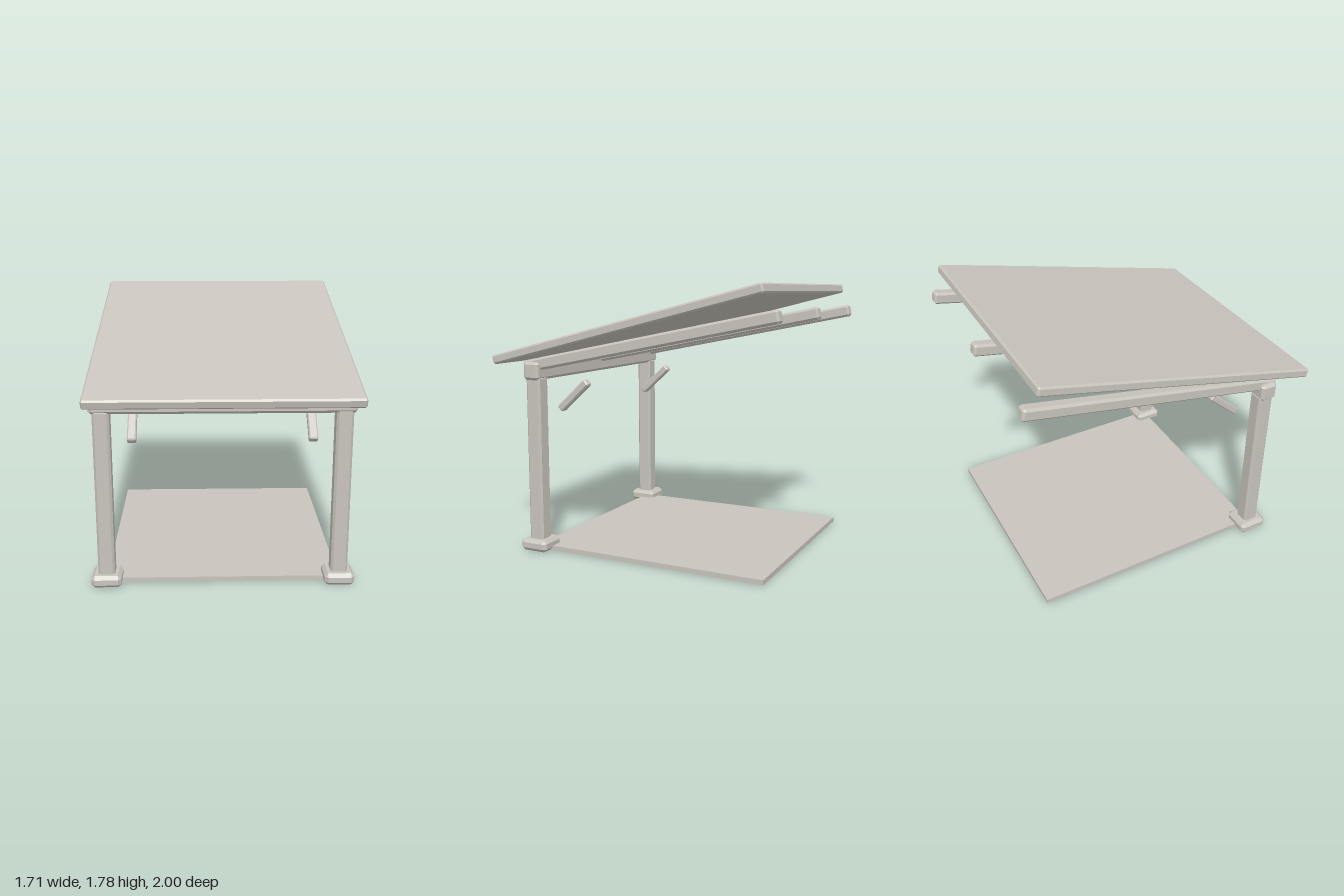
import * as THREE from 'three';
import { ConvexGeometry } from 'three/addons/geometries/ConvexGeometry.js';

const concrete = new THREE.MeshStandardMaterial({ color: 0xc8c4bc });
concrete.name = 'warm grey';

// Box with every edge cut by a flat chamfer c.
function chamferBox(w, h, d, c) {
  const pts = [];
  for (const sx of [-1, 1]) for (const sy of [-1, 1]) for (const sz of [-1, 1]) {
    const x = w / 2, y = h / 2, z = d / 2;
    pts.push(new THREE.Vector3(sx * x, sy * (y - c), sz * (z - c)));
    pts.push(new THREE.Vector3(sx * (x - c), sy * y, sz * (z - c)));
    pts.push(new THREE.Vector3(sx * (x - c), sy * (y - c), sz * z));
  }
  return new ConvexGeometry(pts);
}

export function createModel() {
  const group = new THREE.Group();

  // tilt lifts the rear end of the part
  function add(name, geometry, x, y, z, tilt = 0) {
    const mesh = new THREE.Mesh(geometry, concrete);
    mesh.name = name;
    mesh.position.set(x, y, z);
    mesh.rotation.x = THREE.MathUtils.degToRad(tilt);
    group.add(mesh);
  }

  // Ground slab
  add('floorSlab', new THREE.BoxGeometry(1.52, 0.032, 1.615), 0, 0.016, -0.1075);

  // Footings, posts and knee braces, mirrored left and right
  const footing = chamferBox(0.195, 0.08, 0.2, 0.022);
  const post = chamferBox(0.108, 1.14, 0.108, 0.015);
  const brace = chamferBox(0.058, 0.05, 0.288, 0.008);
  for (const [side, s] of [['left', 1], ['right', -1]]) {
    add(side + 'Footing', footing, s * 0.757, 0.042, 0.695);
    add(side + 'Post', post, s * 0.757, 0.61, 0.695);
    add(side + 'Brace', brace, s * 0.58, 1.04, 0.518, 42);
  }

  // Front beam across the posts
  add('frontBeam', chamferBox(1.665, 0.12, 0.115, 0.018), 0, 1.217, 0.697);

  // Sloping rafters
  const rafter = chamferBox(0.08, 0.082, 1.8, 0.014);
  for (const x of [-0.757, 0, 0.757]) add('rafter', rafter, x, 1.418, -0.112, 11.4);

  // Roof panel
  add('roofPanel', chamferBox(1.68, 0.062, 1.968, 0.011), 0, 1.518, 0.04, 14);

  return group;
}
